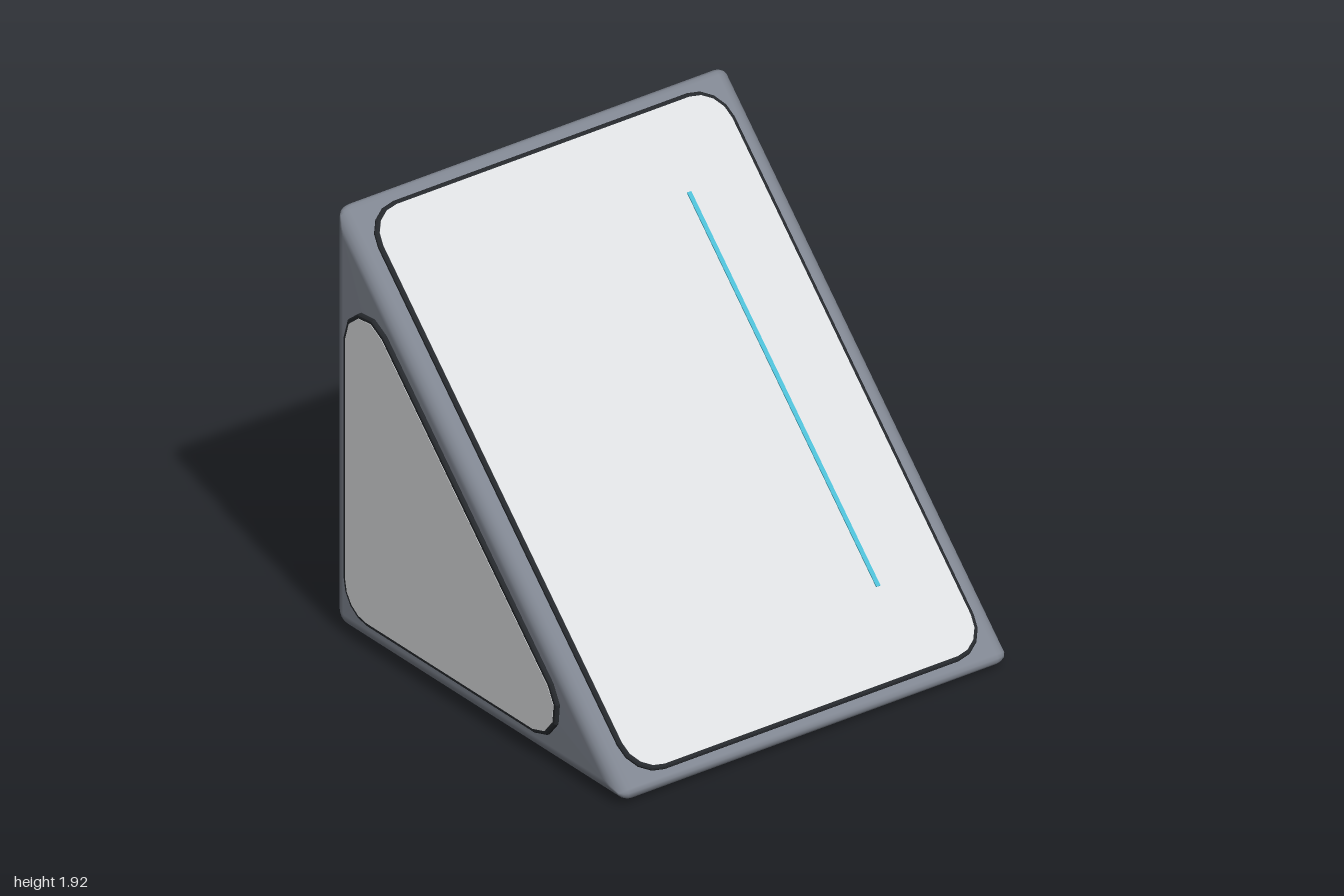
import * as THREE from 'three';

const mat = (name, color) => {
  const m = new THREE.MeshStandardMaterial({ color });
  m.name = name;
  return m;
};

// Polygon with each corner replaced by an arc of its own radius
function roundCorners(poly, radii, steps = 4) {
  const pts = poly.map(([x, y]) => new THREE.Vector2(x, y));
  const out = [];
  pts.forEach((p, i) => {
    const a = pts[(i + pts.length - 1) % pts.length].clone().sub(p).normalize();
    const b = pts[(i + 1) % pts.length].clone().sub(p).normalize();
    const half = Math.acos(a.dot(b)) / 2;
    const r = radii[i];
    const c = a.clone().add(b).normalize().multiplyScalar(r / Math.sin(half)).add(p);
    const s = a.multiplyScalar(r / Math.tan(half)).add(p).sub(c);
    const e = b.multiplyScalar(r / Math.tan(half)).add(p).sub(c);
    const sweep = Math.PI - 2 * half;
    for (let k = 0; k <= steps; k++) {
      const t = k / steps;
      out.push(c.clone()
        .addScaledVector(s, Math.sin((1 - t) * sweep) / Math.sin(sweep))
        .addScaledVector(e, Math.sin(t * sweep) / Math.sin(sweep)));
    }
  });
  return out;
}

// Wedge body: rounded triangles in the (z, y) plane, inset towards both ends
function wedgeGeometry() {
  const R = 0.065, END = 0.98, STEPS = 5, K = 1 + Math.SQRT2;
  const section = (d) => roundCorners(
    [[1 - K * d, 0.02 + d], [-0.94 + d, 0.02 + d], [-0.94 + d, 1.96 - K * d]],
    [0.03, 0.07, 0.03].map((r) => Math.max(0.005, r - d)));
  const rings = [];
  for (const side of [-1, 1]) {
    for (let k = 0; k <= STEPS; k++) {
      const phi = (side < 0 ? STEPS - k : k) / STEPS * Math.PI / 2;
      rings.push({ x: side * (END - R + R * Math.sin(phi)), pts: section(R * (1 - Math.cos(phi))) });
    }
  }
  const n = rings[0].pts.length;
  const pos = [], idx = [];
  rings.forEach(({ x, pts }) => pts.forEach((p) => pos.push(x, p.y, p.x)));
  for (let i = 0; i < rings.length - 1; i++) {
    for (let j = 0; j < n; j++) {
      const a = i * n + j, b = i * n + (j + 1) % n;
      idx.push(a, b, b + n, a, b + n, a + n);
    }
  }
  // Flat end caps
  const left = rings.length * n, last = (rings.length - 1) * n;
  pos.push(-END, 0.6, -0.35, END, 0.6, -0.35);
  for (let j = 0; j < n; j++) {
    const q = (j + 1) % n;
    idx.push(left, q, j, left + 1, last + j, last + q);
  }
  const g = new THREE.BufferGeometry();
  g.setAttribute('position', new THREE.Float32BufferAttribute(pos, 3));
  g.setIndex(idx);
  g.computeVertexNormals();
  return g;
}

export function createModel() {
  const frameMat = mat('slate grey frame', 0x7f8590);
  const rimMat = mat('dark rim', 0x25282c);
  const faceMat = mat('pale grey face', 0xdcdee0);
  const lineMat = mat('cyan line', 0x4cbcd4);

  const model = new THREE.Group();
  model.name = 'wedgeBlock';
  const add = (parent, name, geometry, material) => {
    const m = new THREE.Mesh(geometry, material);
    m.name = name;
    parent.add(m);
    return m;
  };

  add(model, 'frame', wedgeGeometry(), frameMat);

  // Raised panel: dark slab with a slightly smaller pale plate on top
  function panel(name, outline, position, rotation) {
    const g = new THREE.Group();
    g.name = name;
    const shape = new THREE.Shape(outline);
    const slab = new THREE.ExtrudeGeometry(shape, {
      depth: 0.03, bevelEnabled: true, bevelSize: 0.006, bevelOffset: 0.012,
      bevelThickness: 0.006, bevelSegments: 1,
    });
    add(g, name + 'Rim', slab.translate(0, 0, -0.036), rimMat);
    const plate = new THREE.ExtrudeGeometry(shape, { depth: 0.004, bevelEnabled: false });
    add(g, name + 'Face', plate.translate(0, 0, -0.002), faceMat);
    g.position.set(...position);
    g.rotation.set(...rotation);
    model.add(g);
    return g;
  }
  const rect = (w, h) => roundCorners([[-w, -h], [w, -h], [w, h], [-w, h]], [0.14, 0.14, 0.14, 0.14]);

  const slope = panel('slopePanel', rect(0.875, 1.254), [0, 1.0, 0.04], [-Math.PI / 4, 0, 0]);
  panel('backPanel', rect(0.87, 0.865), [0, 0.995, -0.953], [0, Math.PI, 0]);
  panel('bottomPanel', rect(0.87, 0.86), [0, 0.002, 0.03], [Math.PI / 2, 0, 0]);

  // Triangular side panels
  for (const s of [1, -1]) {
    const tri = [[0.74, 0.13], [-0.835, 0.13], [-0.835, 1.705]].map(([z, y]) => [-s * z, y]);
    panel(s > 0 ? 'leftPanel' : 'rightPanel', roundCorners(tri, [0.14, 0.14, 0.14]),
      [s * 0.998, 0, 0], [0, s * Math.PI / 2, 0]);
  }

  // Thin stripe on the slope
  add(slope, 'stripe', new THREE.BoxGeometry(0.02, 1.768, 0.009), lineMat).position.set(0.537, 0.007, 0.002);

  return model;
}
